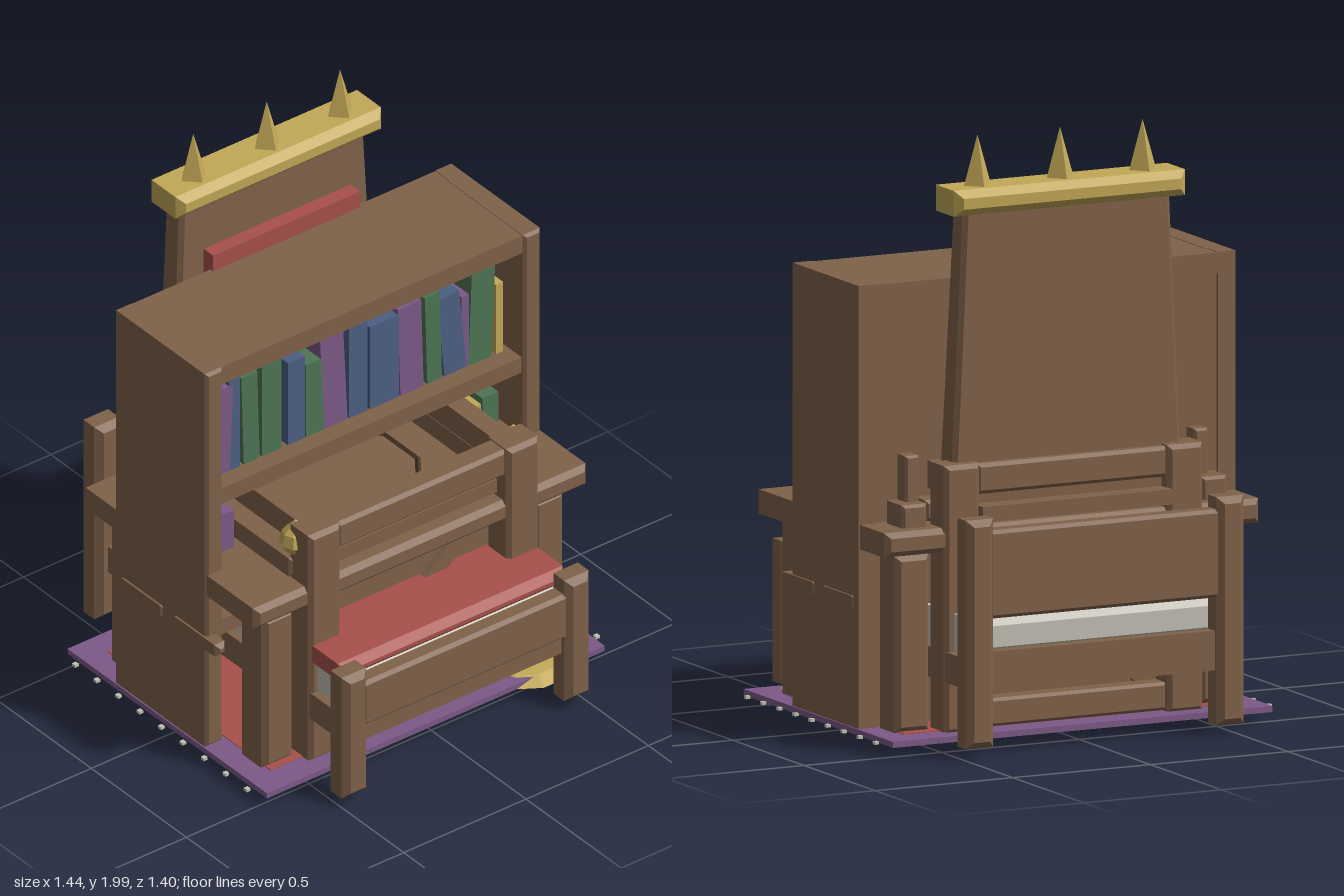
import * as THREE from 'three';

const mat = (name, color) => {
  const m = new THREE.MeshStandardMaterial({ color, flatShading: true });
  m.name = name;
  return m;
};

export function createModel() {
  const wood = mat('wood', 0x80624a), gold = mat('gold', 0xc2a857), red = mat('red cloth', 0xa8504b);
  const purple = mat('purple', 0x7d5a88), linen = mat('linen', 0xc4c1b6), blue = mat('blue', 0x4c5f83);
  const green = mat('green', 0x4f7554), dark = mat('dark wood', 0x4a3828);
  const root = new THREE.Group();
  root.name = 'furnitureSet';

  const group = (name) => {
    const g = new THREE.Group();
    g.name = name;
    root.add(g);
    return g;
  };
  const add = (g, name, geo, m, x = 0, y = 0, z = 0) => {
    const mesh = new THREE.Mesh(geo, m);
    mesh.name = name;
    mesh.position.set(x, y, z);
    g.add(mesh);
    return mesh;
  };
  // Box given by its limits, with chamfer c when above zero
  const box = (g, name, m, x0, x1, y0, y1, z0, z1, c = 0) => {
    const w = x1 - x0, h = y1 - y0, d = z1 - z0;
    let geo;
    if (c > 0) {
      const a = w / 2 - c, b = h / 2 - c;
      const s = new THREE.Shape([[-a, -b], [a, -b], [a, b], [-a, b]].map((p) => new THREE.Vector2(...p)));
      geo = new THREE.ExtrudeGeometry(s, {
        depth: d - 2 * c, bevelEnabled: true, bevelSegments: 1, bevelSize: c, bevelThickness: c,
      });
      geo.translate(0, 0, c - d / 2);
    } else geo = new THREE.BoxGeometry(w, h, d);
    return add(g, name, geo, m, (x0 + x1) / 2, (y0 + y1) / 2, (z0 + z1) / 2);
  };
  // The same box on both sides of x = 0
  const pair = (g, name, m, x0, x1, ...rest) => {
    box(g, name, m, x0, x1, ...rest);
    box(g, name, m, -x1, -x0, ...rest);
  };

  // Rug with fringe
  const rug = group('rug');
  box(rug, 'rugCloth', purple, -0.69, 0.69, 0.045, 0.065, -0.525, 0.525);
  box(rug, 'rugField', red, -0.6, 0.6, 0.065, 0.068, -0.43, 0.43);
  for (let i = -4; i <= 4; i++) {
    const z = i * 0.113;
    pair(rug, 'fringe', linen, 0.706, 0.722, 0.047, 0.057, z - 0.008, z + 0.008);
  }

  // Rough earth and coins under the rug
  const heap = group('heap');
  const lump = (m, x, z, rx, rz, low, n) => {
    const mesh = add(heap, 'lump', new THREE.SphereGeometry(1, n, 4), m, x, 0.047, z);
    mesh.scale.set(rx, low, rz);
    mesh.rotation.y = x * 7;
  };
  [[-0.2, 0.1], [-0.05, 0.2], [0.1, 0.08], [-0.12, -0.08], [0.06, -0.12], [0, 0.03], [0.18, 0.2], [-0.22, 0.24]]
    .forEach(([x, z], i) => lump(wood, x, z, 0.14, 0.11, 0.022 + 0.005 * (i % 3), 7));
  const coins = add(heap, 'coinPile', new THREE.SphereGeometry(1, 10, 4), gold, 0.46, 0.045, 0.42);
  coins.scale.set(0.18, 0.035, 0.16);

  // Bookcase
  const bookcase = group('bookcase');
  pair(bookcase, 'side', wood, 0.615, 0.685, 0.065, 1.52, -0.21, 0.2, 0.01);
  box(bookcase, 'back', wood, -0.68, 0.68, 0.065, 1.515, -0.265, -0.205);
  pair(bookcase, 'backStile', wood, 0.62, 0.685, 0.065, 1.52, -0.275, -0.2);
  box(bookcase, 'top', wood, -0.62, 0.62, 1.45, 1.518, -0.275, 0.19);
  [0.5, 1.01].forEach((y) => box(bookcase, 'shelf', wood, -0.62, 0.62, y - 0.03, y + 0.03, -0.21, 0.185));
  pair(bookcase, 'sideBatten', wood, 0.65, 0.692, 0.453, 0.497, 0.025, 0.265, 0.015);
  pair(bookcase, 'sideBatten', wood, 0.65, 0.692, 0.453, 0.497, -0.25, -0.02, 0.015);

  // Books: left edge, right edge, top, colour, lean
  const books = group('books');
  const book = (x0, x1, y0, y1, m, lean = 0, z = 0.12) => {
    box(books, 'book', m, x0, x1, y0, y1, z - 0.22, z).rotation.z = lean;
  };
  [[-0.585, -0.52, 1.37, purple, -0.04], [-0.53, -0.485, 1.39, blue], [-0.475, -0.41, 1.38, green, 0.03],
    [-0.395, -0.315, 1.42, green], [-0.29, -0.22, 1.36, blue], [-0.215, -0.14, 1.32, green],
    [-0.15, -0.055, 1.41, purple, 0.05], [-0.04, 0.035, 1.4, blue], [0.045, 0.165, 1.36, blue],
    [0.165, 0.26, 1.38, purple, 0.03], [0.275, 0.335, 1.38, green, 0.03], [0.335, 0.425, 1.35, blue, 0.1],
    [0.42, 0.45, 1.32, purple], [0.455, 0.55, 1.4, green, -0.04], [0.56, 0.59, 1.31, gold]]
    .forEach(([x0, x1, y, m, lean]) => book(x0, x1, 1.04, y, m, lean));
  book(-0.04, 0.035, 1.3, 1.445, linen, 0, 0.05);
  book(0.1, 0.16, 1.04, 1.41, red, 0.05, 0.06);
  book(-0.36, -0.3, 1.04, 1.4, gold, 0, 0.06);
  book(0.27, 0.3, 1.04, 1.4, gold, 0, 0.06);
  book(-0.59, -0.51, 0.735, 0.88, purple);
  book(-0.61, -0.51, 0.84, 0.89, blue, 0, 0.06);
  book(0.505, 0.57, 0.735, 0.89, green);
  book(0.46, 0.5, 0.735, 0.87, gold);
  book(-0.5, -0.32, 0.92, 0.955, blue, 0.1, 0.1);

  // Throne
  const throne = group('throne');
  const slab = new THREE.Shape([[-0.42, 0.5], [0.42, 0.5], [0.36, 1.76], [-0.36, 1.76]].map((p) => new THREE.Vector2(...p)));
  const backGeo = new THREE.ExtrudeGeometry(slab, { depth: 0.08, bevelSize: 0.015, bevelThickness: 0.015, bevelSegments: 1 });
  const backrest = add(throne, 'backrest', backGeo, wood, 0, 0, -0.405);
  const pos = backGeo.attributes.position;
  for (let i = 0; i < pos.count; i++) {
    const y = pos.getY(i);
    if (pos.getZ(i) > 0.04) pos.setZ(i, pos.getZ(i) - (y - 0.5) * 0.015);
  }
  backGeo.computeVertexNormals();
  backrest.updateMatrix();
  box(throne, 'backCushion', red, -0.3, 0.3, 0.7, 1.58, -0.31, -0.26);
  box(throne, 'crown', gold, -0.42, 0.42, 1.75, 1.835, -0.455, -0.28, 0.025);
  [-0.3, 0, 0.3].forEach((x) => add(throne, 'spike', new THREE.ConeGeometry(0.05, 0.17, 4), gold, x, 1.915, -0.365));
  pair(throne, 'arm', wood, 0.38, 0.48, 0.74, 0.81, -0.35, 0.38, 0.012);
  pair(throne, 'rearPost', wood, 0.5, 0.59, 0.7, 0.81, -0.4, -0.28, 0.01);
  pair(throne, 'tallRearPost', wood, 0.5, 0.55, 0.7, 0.96, -0.345, -0.28, 0.008);
  const knob = [[0, 0.825], [0.035, 0.83], [0.055, 0.86], [0.045, 0.9], [0.02, 0.925], [0, 0.945]]
    .map((p) => new THREE.Vector2(...p));
  [-1, 1].forEach((s) => add(throne, 'armKnob', new THREE.LatheGeometry(knob, 8), gold, s * 0.445, 0, 0.36));

  // Table
  const table = group('table');
  box(table, 'tableTop', wood, -0.68, 0.68, 0.655, 0.735, -0.46, 0.455, 0.018);
  [[0.28, 0.415], [-0.405, -0.27]].forEach(([z0, z1]) => {
    pair(table, 'tableLeg', wood, 0.49, 0.615, 0.065, 0.645, z0, z1, 0.018);
  });

  // Crate frame with braces
  const crate = group('crate');
  [-1, 1].forEach((s) => {
    const z = s * 0.41;
    pair(crate, 'cratePost', wood, 0.34, 0.47, 0.06, 0.94, z - 0.06, z + 0.06, 0.015);
    box(crate, 'topRail', wood, -0.345, 0.345, 0.835, 0.935, z - 0.045, z + 0.045, 0.012);
    box(crate, 'innerRail', wood, -0.345, 0.345, 0.75, 0.8, z - 0.08, z);
    box(crate, 'bottomRail', wood, -0.345, 0.345, 0.068, 0.16, z - 0.04, z + 0.04, 0.01);
    box(crate, 'cratePanel', wood, -0.35, 0.35, 0.068, 0.74, s * 0.34 - 0.015, s * 0.34 + 0.015);
    pair(crate, 'sideRail', wood, 0.36, 0.43, 0.835, 0.925, Math.min(0, z), Math.max(0, z), 0.01);
    box(crate, 'brace', wood, -0.45, 0.45, 0.39, 0.45, s * 0.37 - 0.012, s * 0.37 + 0.012).rotation.z = 0.7;
  });

  // Barrel and sack
  const barrel = group('barrel');
  const staves = [[0, 0.065], [0.22, 0.065], [0.28, 0.3], [0.28, 0.5], [0.26, 0.742], [0, 0.742]]
    .map((p) => new THREE.Vector2(...p));
  add(barrel, 'staves', new THREE.LatheGeometry(staves, 10), wood);
  const hoop = add(barrel, 'hoop', new THREE.TorusGeometry(0.28, 0.01, 4, 10), dark, 0, 0.738, 0);
  hoop.rotation.set(Math.PI / 2, 0, Math.PI / 10);
  const sack = add(barrel, 'sack', new THREE.SphereGeometry(1, 10, 7), wood, 0, 0.25, 0.32);
  sack.scale.set(0.17, 0.13, 0.18);

  // Bed
  const bed = group('bed');
  pair(bed, 'footPost', wood, 0.405, 0.505, 0.05, 0.52, 0.6, 0.7, 0.022);
  pair(bed, 'headPost', wood, 0.405, 0.505, 0.05, 0.8, -0.7, -0.6, 0.022);
  box(bed, 'footBoard', wood, -0.42, 0.42, 0.295, 0.465, 0.615, 0.685, 0.012);
  box(bed, 'footRail', wood, -0.42, 0.42, 0.23, 0.3, 0.625, 0.665);
  box(bed, 'headBoard', wood, -0.42, 0.42, 0.47, 0.76, -0.685, -0.615, 0.012);
  box(bed, 'headRail', wood, -0.42, 0.42, 0.23, 0.36, -0.67, -0.625);
  pair(bed, 'bedRail', wood, 0.41, 0.465, 0.23, 0.33, -0.62, 0.62);
  box(bed, 'slats', wood, -0.41, 0.41, 0.29, 0.33, -0.62, 0.62);
  box(bed, 'mattress', linen, -0.44, 0.44, 0.335, 0.455, -0.605, 0.605, 0.025);
  box(bed, 'blanket', red, -0.46, 0.46, 0.45, 0.515, -0.15, 0.625, 0.025);
  const pillow = add(bed, 'pillow', new THREE.SphereGeometry(1, 12, 8), linen, 0, 0.51, -0.46);
  const pp = pillow.geometry.attributes.position;
  const square = (v) => Math.sign(v) * Math.pow(Math.abs(v), 0.45);
  for (let i = 0; i < pp.count; i++) {
    pp.setXYZ(i, square(pp.getX(i)) * 0.3, pp.getY(i) * 0.055, square(pp.getZ(i)) * 0.12);
  }
  pillow.geometry.computeVertexNormals();

  return root;
}
